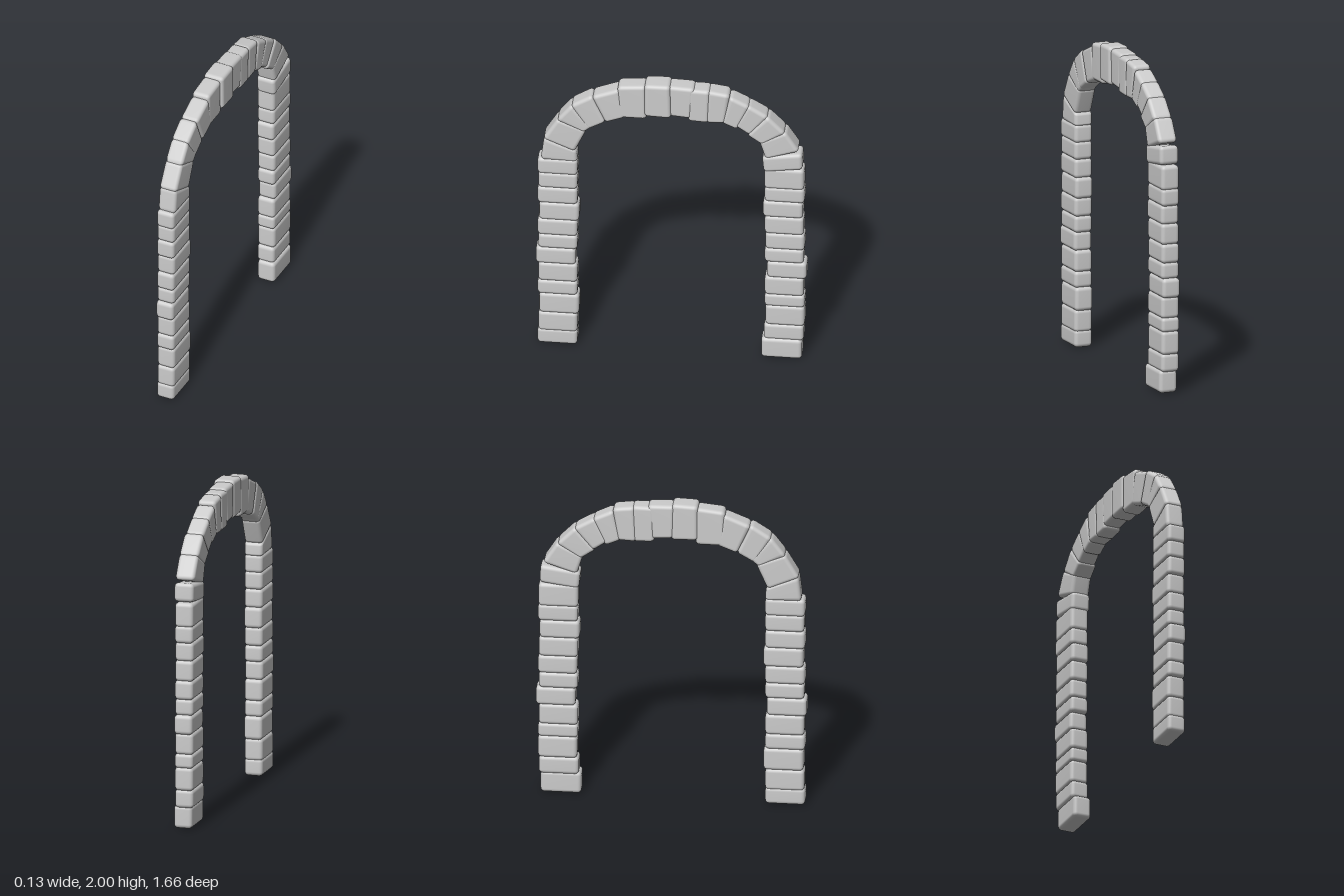
import * as THREE from 'three';
import { RoundedBoxGeometry } from 'three/addons/geometries/RoundedBoxGeometry.js';
import { mergeVertices } from 'three/addons/utils/BufferGeometryUtils.js';

const material = new THREE.MeshStandardMaterial({ color: 0xcccccc });

// Rounded stone fitted to four [z, y] corners: outer start/end, inner start/end along the arch
function stone(name, [os, oe, is, ie], x0 = -0.063, x1 = 0.053) {
  const dist = (a, b) => Math.hypot(a[0] - b[0], a[1] - b[1]);
  const w = x1 - x0;
  const len = (dist(os, oe) + dist(is, ie)) / 2;
  const depth = (dist(os, is) + dist(oe, ie)) / 2;
  let geo = new RoundedBoxGeometry(w, len, depth, 3, Math.min(0.024, len * 0.25));
  geo.deleteAttribute('normal');
  geo.deleteAttribute('uv');
  geo = mergeVertices(geo, 1e-5);
  const p = geo.attributes.position;
  const mix = THREE.MathUtils.lerp;
  for (let i = 0; i < p.count; i++) {
    const u = (p.getY(i) / len) * 1.06 + 0.5; // slight overlap with neighbours
    const v = p.getZ(i) / depth + 0.5;
    const at = (k) => mix(mix(is[k], ie[k], u), mix(os[k], oe[k], u), v);
    p.setXYZ(i, p.getX(i) + (x0 + x1) / 2, at(1), at(0));
  }
  geo.computeVertexNormals();
  const mesh = new THREE.Mesh(geo, material);
  mesh.name = name;
  return mesh;
}

// Pillar courses: bottom, top, inner and outer distance from the middle
const frontCourses = [
  [0.005, 0.11, 0.575, 0.82], [0.1, 0.235, 0.575, 0.815], [0.235, 0.375, 0.565, 0.81],
  [0.375, 0.475, 0.575, 0.82], [0.475, 0.605, 0.575, 0.815], [0.605, 0.72, 0.585, 0.83],
  [0.72, 0.82, 0.575, 0.815], [0.82, 0.935, 0.575, 0.82], [0.935, 1.06, 0.565, 0.81],
  [1.06, 1.175, 0.575, 0.82], [1.175, 1.285, 0.575, 0.815], [1.28, 1.39, 0.575, 0.82],
];
const backCourses = [
  [0.01, 0.145, 0.55, 0.8], [0.14, 0.25, 0.565, 0.81], [0.25, 0.39, 0.575, 0.815],
  [0.39, 0.475, 0.57, 0.815], [0.475, 0.605, 0.57, 0.81], [0.605, 0.72, 0.585, 0.828],
  [0.72, 0.82, 0.57, 0.81], [0.82, 0.935, 0.575, 0.815], [0.935, 1.06, 0.57, 0.81],
  [1.06, 1.175, 0.56, 0.805], [1.175, 1.28, 0.57, 0.815], [1.275, 1.42, 0.568, 0.812],
];

// Wedge stones of the arch, from the front pillar over to the back pillar
const wedges = [
  [[0.8, 1.385], [0.78, 1.55], [0.575, 1.385], [0.58, 1.46]],
  [[0.785, 1.545], [0.7, 1.69], [0.59, 1.46], [0.52, 1.62]],
  [[0.705, 1.685], [0.61, 1.81], [0.53, 1.61], [0.49, 1.645]],
  [[0.615, 1.805], [0.49, 1.885], [0.51, 1.63], [0.405, 1.69]],
  [[0.485, 1.88], [0.325, 1.945], [0.4, 1.69], [0.285, 1.735]],
  [[0.325, 1.965], [0.16, 1.982], [0.325, 1.735], [0.155, 1.735]],
  [[0.16, 1.995], [0.01, 2.0], [0.16, 1.765], [0.005, 1.76]],
  [[0.02, 1.99], [-0.14, 1.985], [0.01, 1.77], [-0.115, 1.76]],
  [[-0.105, 1.975], [-0.235, 1.975], [-0.105, 1.74], [-0.225, 1.735]],
  [[-0.225, 1.973], [-0.355, 1.955], [-0.215, 1.735], [-0.325, 1.74]],
  [[-0.36, 1.94], [-0.48, 1.88], [-0.31, 1.74], [-0.4, 1.7]],
  [[-0.47, 1.885], [-0.595, 1.81], [-0.39, 1.725], [-0.475, 1.665]],
  [[-0.59, 1.815], [-0.7, 1.7], [-0.465, 1.665], [-0.55, 1.605]],
  [[-0.7, 1.705], [-0.785, 1.57], [-0.54, 1.62], [-0.575, 1.5]],
  [[-0.8, 1.545], [-0.805, 1.435], [-0.555, 1.51], [-0.565, 1.4]],
];

export function createModel() {
  const model = new THREE.Group();
  model.name = 'stoneArch';

  const frontPillar = new THREE.Group();
  frontPillar.name = 'frontPillar';
  frontCourses.forEach(([b, t, i, o], n) =>
    frontPillar.add(stone(`frontPillarStone${n + 1}`, [[o, b], [o, t], [i, b], [i, t]])));

  // The back pillar runs downwards; its base stone sticks out to one side
  const backPillar = new THREE.Group();
  backPillar.name = 'backPillar';
  backCourses.forEach(([b, t, i, o], n) =>
    backPillar.add(stone(`backPillarStone${n + 1}`, [[-o, t], [-o, b], [-i, t], [-i, b]],
      n === 0 ? -0.053 : -0.063, n === 0 ? 0.063 : 0.053)));

  // The keystone is a little thicker than its neighbours
  const archCrown = new THREE.Group();
  archCrown.name = 'archCrown';
  wedges.forEach((corners, n) => archCrown.add(n === 6
    ? stone('keystone', corners, -0.066, 0.066)
    : stone(`archStone${n + 1}`, corners, -0.063, n > 11 ? 0.06 : 0.053)));

  model.add(frontPillar, backPillar, archCrown);
  return model;
}
